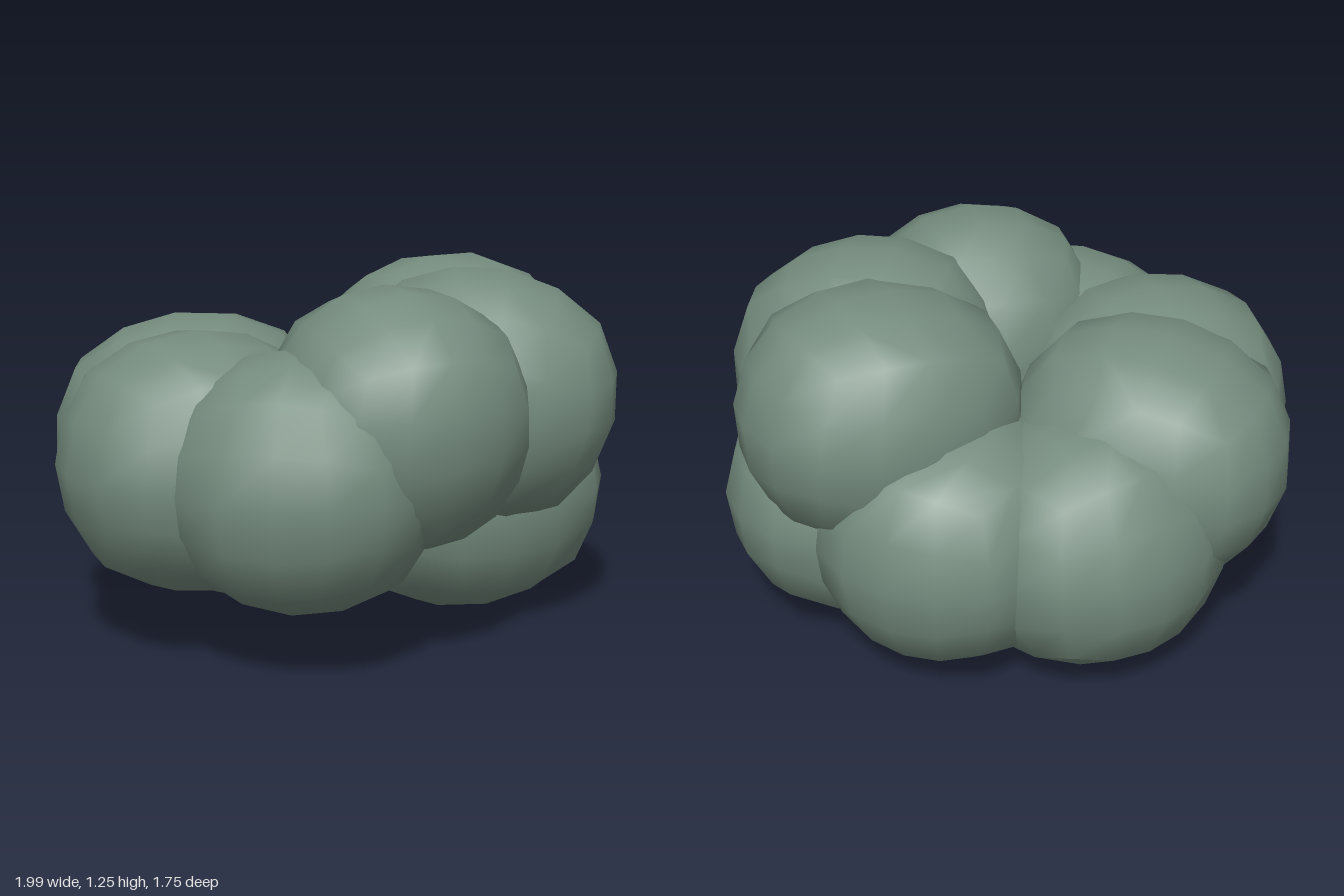
import * as THREE from 'three';
import { mergeVertices } from 'three/addons/utils/BufferGeometryUtils.js';

// A ring of nine overlapping lobes, each stretched toward the narrow open core
const LOBES = [
  // name, centre [x, y, z], half sizes [across, up, along the radius], downward tilt of the outer end
  ['frontLobe', [0.025, 0.81, 0.44], [0.435, 0.435, 0.43], 0.2],
  ['frontLeftLobe', [0.45, 0.82, 0.21], [0.44, 0.435, 0.475], 0.2],
  ['upperLeftLobe', [0.47, 0.825, -0.135], [0.43, 0.43, 0.49], -0.12],
  ['lowerLeftLobe', [0.49, 0.445, 0.01], [0.425, 0.435, 0.505], -0.05],
  ['lowerBackLobe', [-0.175, 0.445, -0.43], [0.46, 0.44, 0.445], -0.1],
  ['backLeftLobe', [0.28, 0.465, -0.345], [0.44, 0.435, 0.445], 0],
  ['rightLobe', [-0.52, 0.64, 0.06], [0.45, 0.44, 0.48], 0],
  ['backRightLobe', [-0.425, 0.645, -0.26], [0.45, 0.44, 0.49], 0.15],
  ['frontRightLobe', [-0.285, 0.625, 0.4], [0.455, 0.435, 0.445], 0],
];

// Unit cube rounded into a slightly boxy ball with smooth normals
function makeBall() {
  let geo = new THREE.BoxGeometry(2, 2, 2, 4, 4, 4);
  geo.deleteAttribute('uv');
  geo.deleteAttribute('normal');
  geo = mergeVertices(geo);
  const pos = geo.attributes.position;
  const v = new THREE.Vector3();
  const even = (t) => Math.tan((t * Math.PI) / 4); // equal angular steps
  for (let i = 0; i < pos.count; i++) {
    v.fromBufferAttribute(pos, i);
    v.set(even(v.x), even(v.y), even(v.z)).normalize();
    const largest = Math.max(Math.abs(v.x), Math.abs(v.y), Math.abs(v.z));
    v.multiplyScalar(1 + 0.13 * (1 - largest)); // fuller toward cube corners
    pos.setXYZ(i, v.x, v.y, v.z);
  }
  geo.computeVertexNormals();
  return geo;
}

export function createModel() {
  const group = new THREE.Group();
  group.name = 'lobedCluster';
  const greyGreen = new THREE.MeshStandardMaterial({ color: 0x758c7e });
  greyGreen.name = 'greyGreen';
  const ball = makeBall();

  for (const [name, centre, size, tilt] of LOBES) {
    const lobe = new THREE.Mesh(ball, greyGreen);
    lobe.name = name;
    lobe.position.set(...centre);
    lobe.scale.set(...size);
    // long axis outward, then tipped up or down
    lobe.rotation.set(tilt, Math.atan2(centre[0], centre[2]), 0, 'YXZ');
    group.add(lobe);
  }
  return group;
}
